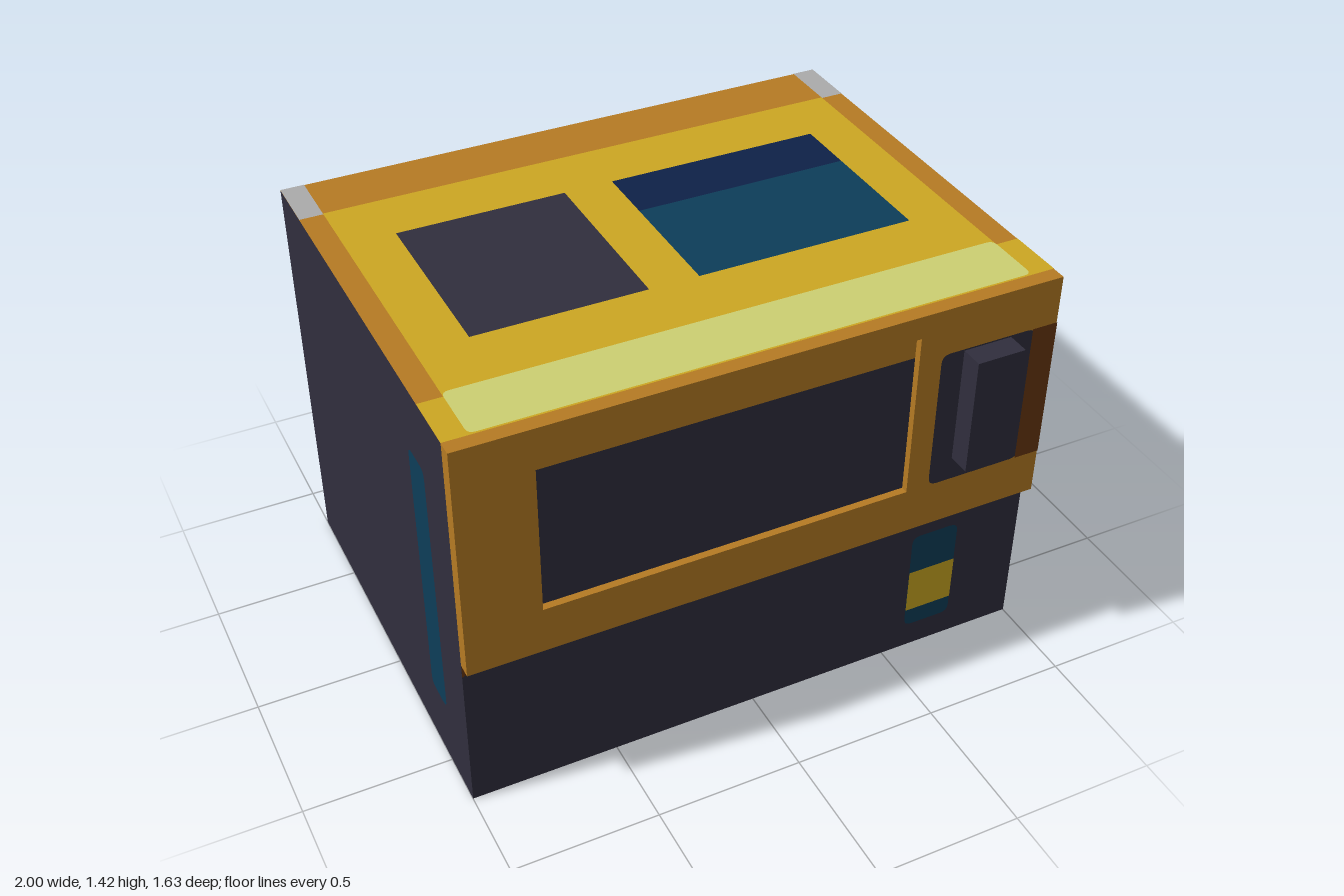
import * as THREE from 'three';

const material = (name, color) => {
  const m = new THREE.MeshStandardMaterial({ color });
  m.name = name;
  return m;
};

// Outline of a rectangle centred on the origin, optionally with rounded corners
function rectShape(w, h, r = 0) {
  const x = w / 2, y = h / 2, s = new THREE.Shape();
  if (r === 0) {
    return s.moveTo(-x, -y).lineTo(x, -y).lineTo(x, y).lineTo(-x, y).closePath();
  }
  s.moveTo(-x + r, -y).lineTo(x - r, -y).quadraticCurveTo(x, -y, x, -y + r);
  s.lineTo(x, y - r).quadraticCurveTo(x, y, x - r, y);
  s.lineTo(-x + r, y).quadraticCurveTo(-x, y, -x, y - r);
  s.lineTo(-x, -y + r).quadraticCurveTo(-x, -y, -x + r, -y);
  return s;
}

export function createModel() {
  const group = new THREE.Group();
  group.name = 'microwaveOven';

  const charcoal = material('charcoal', 0x302e3d);
  const orange = material('orange', 0xb67b23);
  const yellow = material('yellow', 0xcca722);
  const pale = material('paleYellow', 0xcccf72);
  const grey = material('grey', 0xababab);
  const blue = material('tealBlue', 0x0d3d59);
  const navy = material('navy', 0x0e2148);
  const brown = material('brown', 0x68370f);

  const H = 1.42, BACK = -0.815, FRONT = 0.685, DOOR = 0.735;

  const add = (name, geometry, mat) => {
    const mesh = new THREE.Mesh(geometry, mat);
    mesh.name = name;
    group.add(mesh);
    return mesh;
  };
  const box = (name, x0, x1, y0, y1, z0, z1, mat) => {
    const mesh = add(name, new THREE.BoxGeometry(x1 - x0, y1 - y0, z1 - z0), mat);
    mesh.position.set((x0 + x1) / 2, (y0 + y1) / 2, (z0 + z1) / 2);
    return mesh;
  };

  // Painted faces: u, v are the two coordinates lying in the face, lift is the layer
  const faces = {
    front: (m, u, v, d) => m.position.set(u, v, FRONT + d),
    door: (m, u, v, d) => m.position.set(u, v, DOOR + d),
    back: (m, u, v, d) => { m.position.set(u, v, BACK - d); m.rotation.y = Math.PI; },
    right: (m, u, v, d) => { m.position.set(-1 - d, v, u); m.rotation.y = -Math.PI / 2; },
    left: (m, u, v, d) => { m.position.set(1 + d, v, u); m.rotation.y = Math.PI / 2; },
    top: (m, u, v, d) => { m.position.set(u, H + d, v); m.rotation.x = -Math.PI / 2; },
    bottom: (m, u, v, d) => { m.position.set(u, -d, v); m.rotation.x = Math.PI / 2; },
  };
  const paint = (name, face, u0, u1, v0, v1, mat, layer = 1, r = 0) => {
    const mesh = add(name, new THREE.ShapeGeometry(rectShape(u1 - u0, v1 - v0, r), 4), mat);
    faces[face](mesh, (u0 + u1) / 2, (v0 + v1) / 2, layer * 0.0015);
  };

  // Casing with an orange lid
  box('casing', -1, 1, 0, H, BACK, FRONT, [charcoal, charcoal, orange, charcoal, charcoal, charcoal]);

  // Door frame with a window opening
  const doorMidY = (0.585 + H) / 2;
  const frame = rectShape(2, H - 0.585);
  const x0 = -0.75, x1 = 0.5, y0 = 0.75 - doorMidY, y1 = 1.34 - doorMidY;
  frame.holes.push(new THREE.Path().moveTo(x0, y0).lineTo(x0, y1).lineTo(x1, y1).lineTo(x1, y0).closePath());
  const door = add('doorFrame', new THREE.ExtrudeGeometry(frame, { depth: DOOR - FRONT, bevelEnabled: false }), orange);
  door.position.set(0, doorMidY, FRONT);

  // Recessed window and the band above it
  box('windowPane', -0.75, 0.5, 0.75, 1.255, FRONT, 0.71, charcoal);
  box('windowBand', -0.75, 0.5, 1.255, 1.34, FRONT, 0.71, orange);

  // Handle and its backing
  paint('handleBacking', 'door', 0.58, 0.92, 0.75, 1.255, charcoal, 1, 0.03);
  paint('hingeStrip', 'door', 0.91, 1, 0.75, 1.255, brown, 2);
  box('handle', 0.66, 0.83, 0.835, 1.25, DOOR, 0.815, charcoal);

  // Brown corner wedges below the door
  for (const s of [-1, 1]) {
    const pts = [[s, 0.585], [s * 0.91, 0.585], [s, 0.535]].map(([x, y]) => new THREE.Vector2(x, y));
    add('cornerWedge', new THREE.ShapeGeometry(new THREE.Shape(pts)), brown).position.z = FRONT + 0.0015;
  }

  // Front indicator
  paint('indicator', 'front', 0.58, 0.755, 0.095, 0.49, blue, 1, 0.03);
  paint('indicatorLight', 'front', 0.58, 0.755, 0.165, 0.335, yellow, 2);

  // Vent strips on the sides, back and underside
  for (const side of ['left', 'right']) paint('sideVent', side, 0.37, 0.5, 0.235, 1.19, blue, 1, 0.03);
  paint('backVent', 'back', 0.575, 0.755, 0.235, 1.19, blue, 1, 0.05);
  paint('bottomVent', 'bottom', 0.575, 0.755, -0.6, 0.42, blue, 1, 0.05);

  // Painted lid
  paint('lidPanel', 'top', -0.92, 0.92, -0.61, FRONT, yellow);
  for (const s of [-1, 1]) {
    const [a, b] = s > 0 ? [0.92, 1] : [-1, -0.92];
    paint('lidFrontCorner', 'top', a, b, 0.49, FRONT, yellow);
    paint('lidBackCorner', 'top', a, b, BACK, -0.605, grey);
  }
  paint('lidHighlight', 'top', -0.92, 0.92, 0.47, 0.68, pale, 2, 0.025);
  paint('darkPanel', 'top', -0.75, -0.17, -0.39, 0.25, charcoal, 2);
  paint('bluePanel', 'top', 0, 0.75, -0.18, 0.25, blue, 2);
  paint('navyPanel', 'top', 0, 0.75, -0.39, -0.18, navy, 2);

  return group;
}
